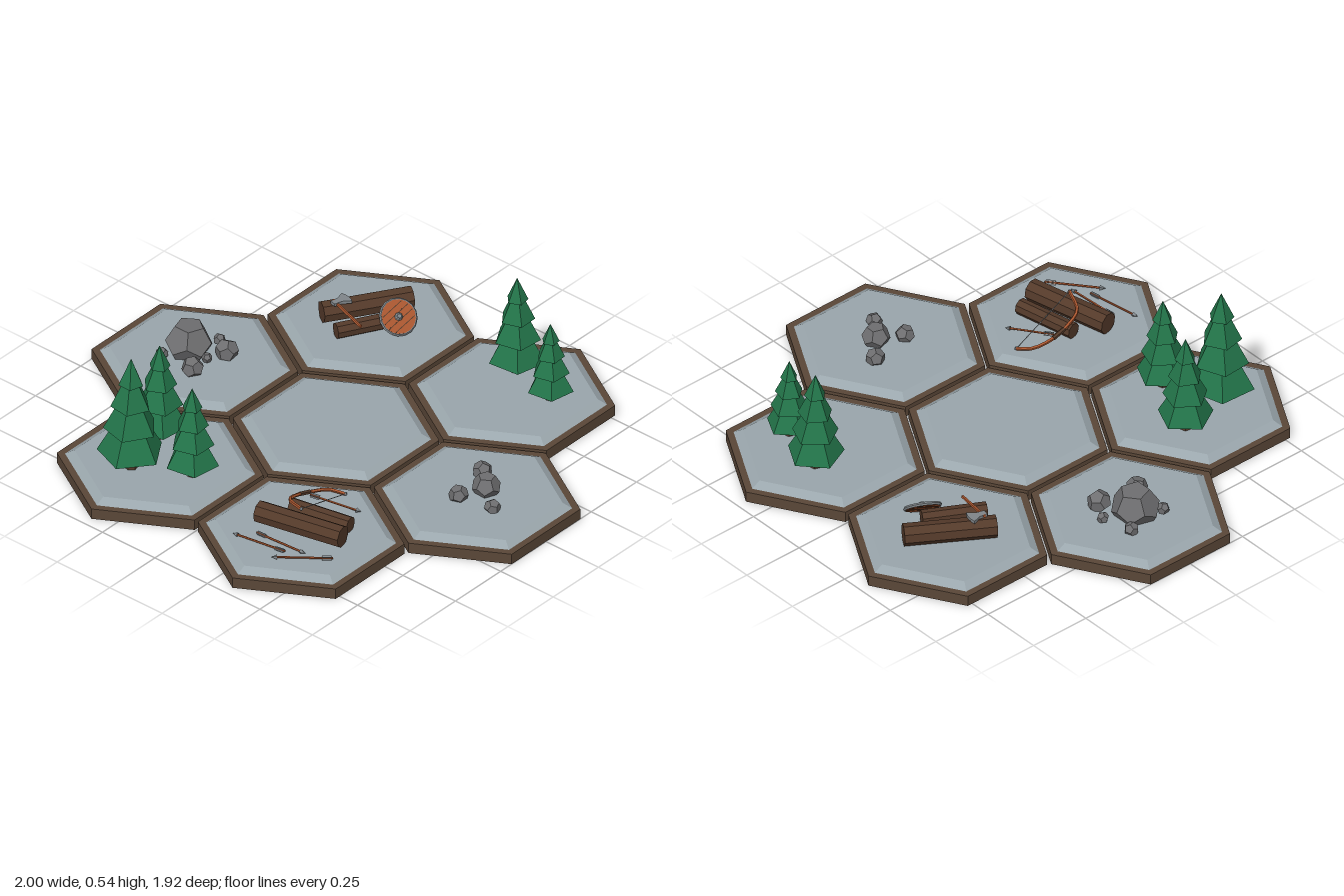
import * as THREE from 'three';

const mat = (name, color) => Object.assign(new THREE.MeshStandardMaterial({ color }), { name });
const V = (x, y, z) => new THREE.Vector3(x, y, z);
const UP = V(0, 1, 0);
const GROUND = 0.063;

export function createModel() {
  const earth = mat('earth brown', 0x5a4738);
  const ice = mat('frozen grey', 0x9aa6ac);
  const bark = mat('bark brown', 0x543a2a);
  const pine = mat('pine green', 0x23754a);
  const stone = mat('stone grey', 0x6e6e70);
  const wood = mat('orange wood', 0xa9562f);
  const metal = mat('metal grey', 0x80868a);

  const root = new THREE.Group();
  root.name = 'hexTerrain';

  // Faceted mesh helper
  function add(parent, name, geometry, material, pos = V(0, 0, 0)) {
    const g = geometry.index ? geometry.toNonIndexed() : geometry;
    g.computeVertexNormals();
    const m = new THREE.Mesh(g, material);
    m.name = name;
    m.position.copy(pos);
    parent.add(m);
    return m;
  }
  function group(name, parent = root) {
    const g = new THREE.Group();
    g.name = name;
    parent.add(g);
    return g;
  }
  // Straight rod from a (radius ra) to b (radius rb)
  function rod(parent, name, a, b, ra, rb, sides, material) {
    const d = b.clone().sub(a);
    const m = add(parent, name, new THREE.CylinderGeometry(rb, ra, d.length(), sides), material,
      a.clone().add(b).multiplyScalar(0.5));
    m.quaternion.setFromUnitVectors(UP, d.normalize());
    return m;
  }

  // Seven hexagonal tiles
  const centres = [[0, 0]];
  for (let i = 0; i < 6; i++) {
    const a = i * Math.PI / 3;
    centres.push([0.672 * Math.cos(a), 0.672 * Math.sin(a)]);
  }
  for (const [x, z] of centres) {
    const tile = group('tile');
    tile.position.set(x, 0, z);
    add(tile, 'tileBase', new THREE.CylinderGeometry(0.379, 0.379, 0.043, 6), earth, V(0, 0.0215, 0));
    add(tile, 'tileTop', new THREE.CylinderGeometry(0.314, 0.349, 0.02, 6), ice, V(0, 0.053, 0));
  }

  // Pine trees: x, z, height, turn in degrees
  const tiers = [[0.14, 0.41, 0.265, 0.12], [0.36, 0.61, 0.215, 0.09],
    [0.57, 0.79, 0.16, 0.06], [0.77, 1, 0.1, 0]];
  for (const [x, z, h, turn] of [[-0.385, 0.685, 0.472, 15], [-0.433, 0.472, 0.397, 48],
    [-0.185, 0.58, 0.377, 46], [0.272, -0.685, 0.407, 42], [0.478, -0.63, 0.327, 44]]) {
    const tree = group('pineTree');
    tree.position.set(x, GROUND, z);
    tree.rotation.y = turn * Math.PI / 180;
    tree.scale.setScalar(h);
    add(tree, 'trunk', new THREE.CylinderGeometry(0.045, 0.055, 0.2, 6), bark, V(0, 0.1, 0));
    tiers.forEach(([y0, y1, r0, r1], i) => {
      const tier = add(tree, 'foliageTier', new THREE.CylinderGeometry(r1, r0, y1 - y0, 5), pine,
        V(0, (y0 + y1) / 2, 0));
      tier.rotation.y = i * 0.12;
    });
  }

  // Rocks: x, z, radius, height above the tile
  const rocks = [
    [-0.71, -0.01, 0.09, 0.122], [-0.585, -0.075, 0.045, 0.065], [-0.61, 0.085, 0.042, 0.06],
    [-0.78, -0.09, 0.028, 0.04], [-0.76, 0.08, 0.024, 0.035], [-0.66, -0.122, 0.023, 0.035],
    [-0.615, 0, 0.02, 0.035],
    [0.69, -0.03, 0.053, 0.075], [0.605, -0.107, 0.037, 0.05], [0.64, 0.065, 0.037, 0.05],
    [0.78, 0.04, 0.031, 0.04]];
  rocks.forEach(([x, z, r, h], i) => {
    const rock = new THREE.DodecahedronGeometry(r);
    rock.rotateX(0.5 + i * 0.9).rotateY(i * 1.7);
    add(root, 'rock', rock, stone, V(x, GROUND + h - r * 0.93, z));
  });

  // Logs: x, z, direction, length, radius
  for (const [x, z, dx, dz, len, r] of [
    [0.353, 0.604, 64, -14, 0.345, 0.042], [0.363, 0.503, 44, -8.5, 0.245, 0.031],
    [-0.38, -0.61, 34, -54, 0.34, 0.042], [-0.305, -0.525, 21, -38, 0.24, 0.031]]) {
    const half = V(dx, 0, dz).setLength(len / 2);
    const c = V(x, GROUND + r * 0.9, z);
    rod(root, 'log', c.clone().sub(half), c.clone().add(half), r, r, 8, bark);
  }

  // Bow leaning over the logs
  const bow = group('bow');
  const bowTips = [V(0.32, 0.07, 0.32), V(0.355, 0.168, 0.604)];
  const limb = new THREE.CatmullRomCurve3([bowTips[0], V(0.27, 0.083, 0.35), V(0.247, 0.1, 0.42),
    V(0.246, 0.125, 0.495), V(0.268, 0.15, 0.565), bowTips[1]]);
  add(bow, 'bowLimb', new THREE.TubeGeometry(limb, 14, 0.007, 5), wood);
  rod(bow, 'bowString', bowTips[0], bowTips[1], 0.002, 0.002, 4, metal);
  rod(bow, 'bowGrip', limb.getPoint(0.43), limb.getPoint(0.57), 0.009, 0.009, 6, bark);
  for (const p of bowTips) add(bow, 'bowTip', new THREE.OctahedronGeometry(0.009), metal, p);

  // Arrows from tail to point
  function arrow(tail, tip) {
    const g = group('arrow');
    const at = (t) => tail.clone().lerp(tip, t);
    rod(g, 'arrowShaft', tail, at(0.92), 0.004, 0.004, 5, wood);
    rod(g, 'arrowHead', at(0.9), tip, 0.01, 0, 4, metal);
    const f = group('fletching', g);
    f.position.copy(at(0.1));
    f.quaternion.setFromUnitVectors(UP, tip.clone().sub(tail).normalize());
    for (const a of [0, Math.PI / 2]) {
      add(f, 'feather', new THREE.BoxGeometry(0.018, 0.035, 0.002), metal).rotation.y = a;
    }
  }
  arrow(V(0.395, 0.071, 0.74), V(0.175, 0.071, 0.775));
  arrow(V(0.24, 0.071, 0.715), V(0.46, 0.071, 0.702));
  arrow(V(0.555, 0.071, 0.66), V(0.38, 0.071, 0.8));
  arrow(V(0.26, 0.105, 0.445), V(0.44, 0.072, 0.37));

  // Round shield resting against the small log
  const shield = group('shield');
  shield.position.set(-0.225, 0.118, -0.605);
  shield.quaternion.setFromUnitVectors(UP, V(0.62, 0.69, 0.35).normalize());
  add(shield, 'shieldBoard', new THREE.CylinderGeometry(0.064, 0.064, 0.012, 16), wood);
  add(shield, 'shieldRim', new THREE.TorusGeometry(0.065, 0.007, 5, 16).rotateX(Math.PI / 2), metal);
  add(shield, 'shieldBoss', new THREE.CylinderGeometry(0.008, 0.016, 0.012, 8), metal, V(0, 0.012, 0));
  for (const x of [-0.036, -0.012, 0.012, 0.036]) {
    const len = 2 * Math.sqrt(0.06 ** 2 - x * x);
    add(shield, 'plankSeam', new THREE.BoxGeometry(0.003, 0.014, len), bark, V(x, 0, 0));
  }

  // Axe lying across the logs
  const axe = group('axe');
  const head = V(-0.43, 0.145, -0.495);
  rod(axe, 'axeHandle', V(-0.445, 0.147, -0.5), V(-0.28, 0.125, -0.462), 0.006, 0.006, 5, wood);
  const blade = new THREE.Shape();
  blade.moveTo(-0.012, -0.012);
  blade.lineTo(0.012, -0.012);
  blade.lineTo(0.014, 0.02);
  blade.lineTo(0.032, 0.052);
  blade.quadraticCurveTo(0, 0.064, -0.03, 0.05);
  blade.lineTo(-0.014, 0.02);
  const bladeGeo = new THREE.ExtrudeGeometry(blade, { depth: 0.012, bevelEnabled: false, curveSegments: 4 });
  bladeGeo.translate(0, 0, -0.006).rotateX(-Math.PI / 2);
  add(axe, 'axeHead', bladeGeo, metal, head).rotation.y = -0.23;

  return root;
}
